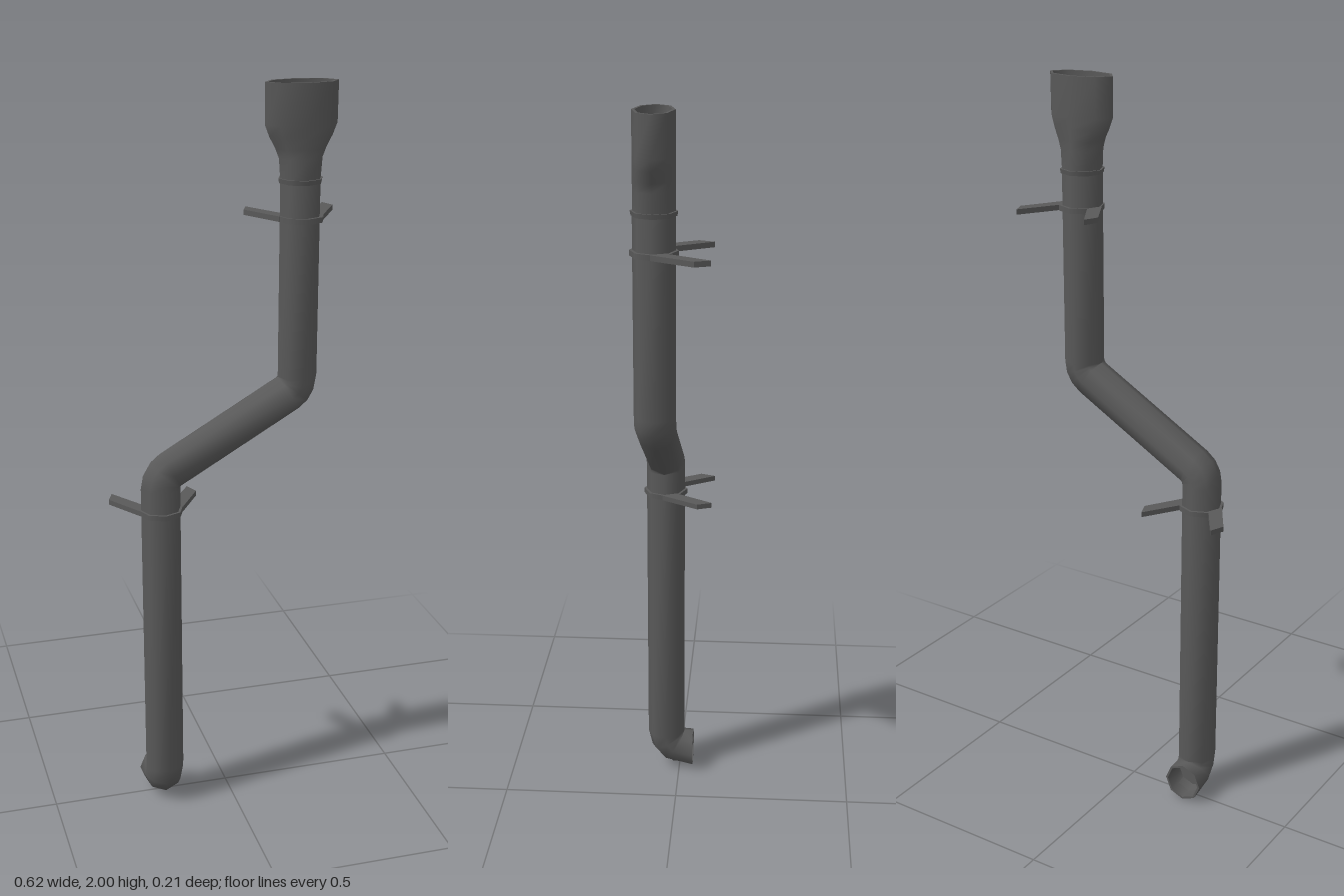
import * as THREE from 'three';

const R = 0.054, Z = 0.04, SIDES = 8;
const LOW_X = -0.19, HIGH_X = 0.187;
const V = (x, y, z) => new THREE.Vector3(x, y, z);

// One cross-section: centre, two axes and two radii
const ring = (c, u, v, ru = R, rv = ru) => ({ c, u, v, ru, rv });
const flatRing = (x, y, ru = R, rv = ru) => ring(V(x, y, Z), V(1, 0, 0), V(0, 0, -1), ru, rv);

// Skin a row of cross-sections; optionally close the last one
function loft(rings, capEnd = false) {
  const pos = [], idx = [];
  for (const { c, u, v, ru, rv } of rings) {
    for (let j = 0; j < SIDES; j++) {
      const a = (j / SIDES) * Math.PI * 2;
      const p = c.clone().addScaledVector(u, ru * Math.cos(a)).addScaledVector(v, rv * Math.sin(a));
      pos.push(p.x, p.y, p.z);
    }
  }
  for (let i = 0; i < rings.length - 1; i++) {
    for (let j = 0; j < SIDES; j++) {
      const k = (j + 1) % SIDES, a = i * SIDES, b = a + SIDES;
      idx.push(a + j, a + k, b + k, a + j, b + k, b + j);
    }
  }
  if (capEnd) {
    const start = pos.length / 3;
    pos.push(...pos.slice(-SIDES * 3));
    for (let j = 1; j < SIDES - 1; j++) idx.push(start, start + j, start + j + 1);
  }
  const g = new THREE.BufferGeometry();
  g.setAttribute('position', new THREE.Float32BufferAttribute(pos, 3));
  g.setIndex(idx);
  g.computeVertexNormals();
  return g;
}

export function createModel() {
  const group = new THREE.Group();
  const metal = new THREE.MeshStandardMaterial({ color: 0x595959, side: THREE.DoubleSide });
  metal.name = 'dark grey metal';
  const add = (name, geometry, parent = group) => {
    const m = new THREE.Mesh(geometry, metal);
    m.name = name;
    parent.add(m);
    return m;
  };

  // Pipe: outlet, elbow, lower run, slanted offset, upper run
  const X = V(1, 0, 0), BACK = V(0, 0, -1);
  const outlet = (z, r) => ring(V(LOW_X, 0.055, z), X, V(0, 1, 0), r);
  const path = [outlet(-0.04, 0.055)];
  for (const deg of [55, 27, 0]) {
    const a = THREE.MathUtils.degToRad(deg);
    const v = V(0, Math.sin(a), -Math.cos(a));
    path.push(ring(V(LOW_X, 0.11, Z - R).addScaledVector(v, -R), X, v));
  }
  const bend = (pivot, side, degs) => {
    for (const deg of degs) {
      const a = THREE.MathUtils.degToRad(deg);
      const u = V(Math.cos(a), -Math.sin(a), 0);
      path.push(ring(pivot.clone().addScaledVector(u, side * R), u, BACK));
    }
  };
  bend(V(LOW_X + R, 0.955, Z), -1, [0, 20, 40, 60]);
  bend(V(HIGH_X - R, 1.235, Z), 1, [60, 40, 20, 0]);
  path.push(flatRing(HIGH_X, 1.755));
  add('pipe', loft(path));

  // Open mouth of the outlet
  add('outletRim', loft([outlet(-0.04, 0.049), outlet(-0.04, 0.055)]));
  add('outletInside', loft([outlet(-0.04, 0.049), outlet(0.02, 0.045)], true));

  // Hopper: round at the neck, oval at the mouth
  const profile = [[1.755, 0.054], [1.81, 0.058], [1.835, 0.068], [1.865, 0.084], [1.895, 0.096], [2, 0.097]];
  add('hopper', loft(profile.map(([y, r]) => flatRing(HIGH_X, y, r, 0.053))));
  add('hopperRim', loft([flatRing(HIGH_X, 2, 0.097, 0.053), flatRing(HIGH_X, 2, 0.089, 0.045)]));
  add('hopperInside', loft([
    flatRing(HIGH_X, 2, 0.089, 0.045), flatRing(HIGH_X, 1.9, 0.085, 0.043), flatRing(HIGH_X, 1.82, 0.035, 0.018),
  ], true));

  // Collar under the hopper
  const collar = new THREE.CylinderGeometry(0.059, 0.057, 0.012, SIDES);
  add('collar', collar).position.set(HIGH_X, 1.754, Z);

  // Wall brackets: a band with two splayed legs
  const T = 0.014;
  const bracket = (x, y, z) => {
    const b = new THREE.Group();
    b.name = 'wallBracket';
    b.position.set(x, y, 0);
    add('band', new THREE.CylinderGeometry(0.061, 0.061, T, SIDES), b).position.z = Z;
    for (const s of [1, -1]) {
      const outline = [[0.035, 0.015], [0.06, 0.045], [0.122, z + 0.04], [0.106, z]];
      const shape = new THREE.Shape(outline.map(([px, pz]) => new THREE.Vector2(s * px, -pz)));
      const g = new THREE.ExtrudeGeometry(shape, { depth: T, bevelEnabled: false });
      g.rotateX(-Math.PI / 2).translate(0, -T / 2, 0);
      add(s > 0 ? 'leftLeg' : 'rightLeg', g, b);
    }
    group.add(b);
  };
  bracket(LOW_X, 0.888, -0.095);
  bracket(HIGH_X + 0.003, 1.657, -0.104);

  return group;
}
